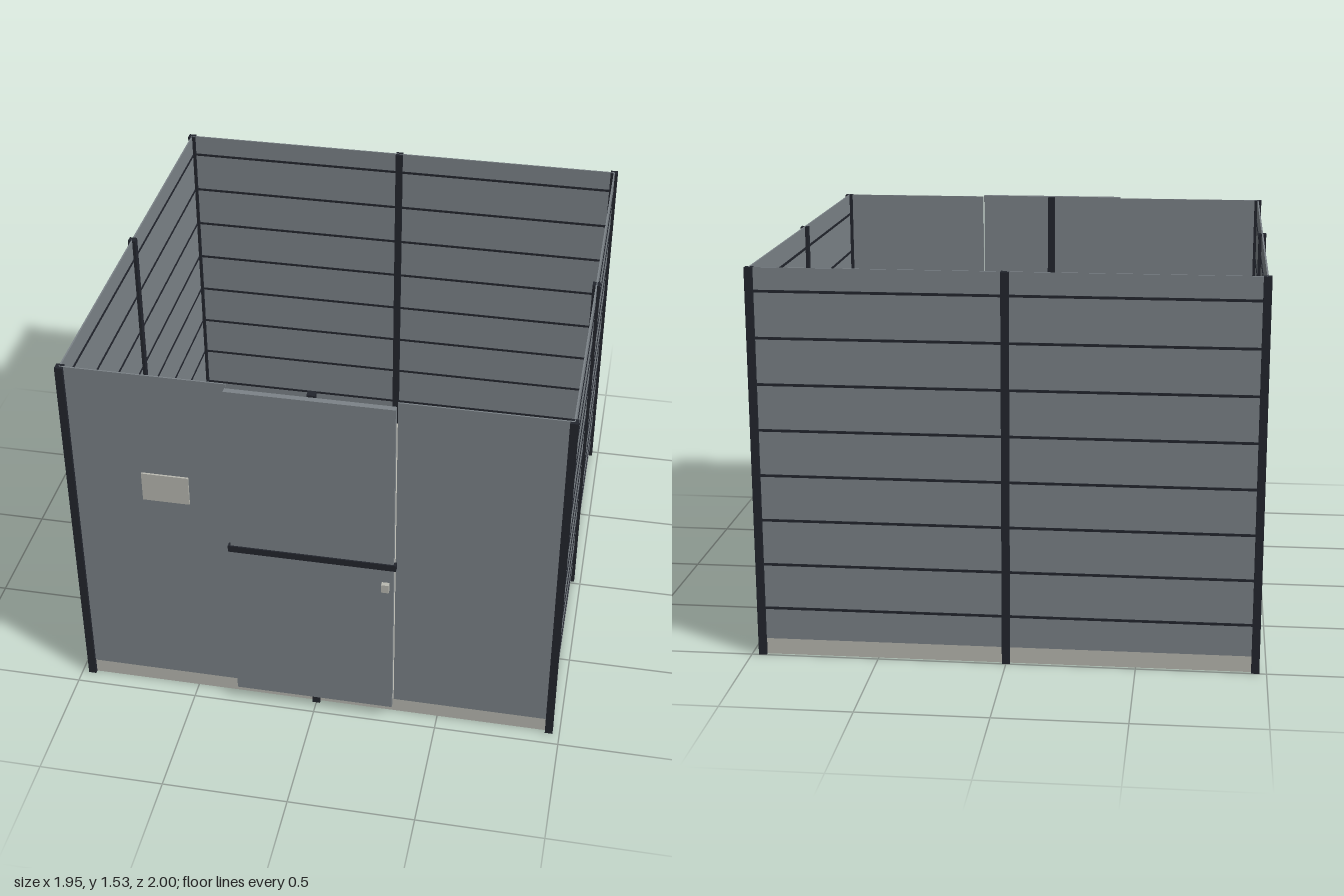
import * as THREE from 'three';

const mat = (name, color) => Object.assign(new THREE.MeshStandardMaterial({ color }), { name });

export function createModel() {
  const model = new THREE.Group();
  model.name = 'panelEnclosure';
  const panelGrey = mat('panelGrey', 0x7b8287);
  const darkSteel = mat('darkSteel', 0x22252d);
  const concrete = mat('concrete', 0xb8b8b0);

  // box given by its extents on each axis
  const box = (name, m, [x0, x1], [y0, y1], [z0, z1], parent = model) => {
    const mesh = new THREE.Mesh(new THREE.BoxGeometry(x1 - x0, y1 - y0, z1 - z0), m);
    mesh.position.set((x0 + x1) / 2, (y0 + y1) / 2, (z0 + z1) / 2);
    mesh.name = name;
    parent.add(mesh);
    return mesh;
  };
  const around = (c, half) => [c - half, c + half];

  const W = 0.957, BACK = -0.985, FRONT = 0.93, MID = (BACK + FRONT) / 2;
  const BASE = 0.065, TOP = 1.535, WALL = 0.003, RAIL = 0.006, POST = 0.0155;
  const wallY = [BASE, TOP];

  // floor slab
  box('floorSlab', concrete, [-W, W], [0, BASE], [BACK, FRONT]);

  // side and back walls
  for (const s of [-1, 1]) {
    box(s > 0 ? 'leftWall' : 'rightWall', panelGrey, around(s * W, WALL), wallY, [BACK, FRONT]);
  }
  box('backWall', panelGrey, [-W, W], wallY, around(BACK, WALL));

  // horizontal rails on side and back walls
  const rails = new THREE.Group();
  rails.name = 'wallRails';
  model.add(rails);
  for (let i = 0; i < 8; i++) {
    const y = around(0.192 + i * 0.179, 0.005);
    for (const s of [-1, 1]) box('sideRail', darkSteel, around(s * W, RAIL), y, [BACK, FRONT], rails);
    box('backRail', darkSteel, [-W, W], y, around(BACK, RAIL), rails);
  }

  // front panels either side of the doorway
  box('frontPanelRight', panelGrey, [-W, -0.32], wallY, around(FRONT, WALL));
  box('frontPanelLeft', panelGrey, [0.32, W], wallY, around(FRONT, WALL));

  // corner and middle posts
  const posts = new THREE.Group();
  posts.name = 'posts';
  model.add(posts);
  for (const x of [-W, 0, W]) {
    for (const z of [BACK, MID, FRONT]) {
      if (x === 0 && z === MID) continue;
      box('post', darkSteel, around(x, POST), [0, TOP], around(z, POST), posts);
    }
  }

  // sliding door with cross bar and handle
  const door = new THREE.Group();
  door.name = 'door';
  model.add(door);
  box('doorLeaf', panelGrey, [-0.32, 0.32], wallY, [0.957, 0.981], door);
  box('doorBar', darkSteel, [-0.33, 0.33], [0.786, 0.814], [0.964, 0.987], door);
  box('doorHandle', concrete, [0.275, 0.305], [0.685, 0.722], [0.98, 1.0], door);

  // blank sign plate
  box('signPlate', concrete, [-0.67, -0.485], [0.962, 1.087], [0.938, 0.946]);

  return model;
}
